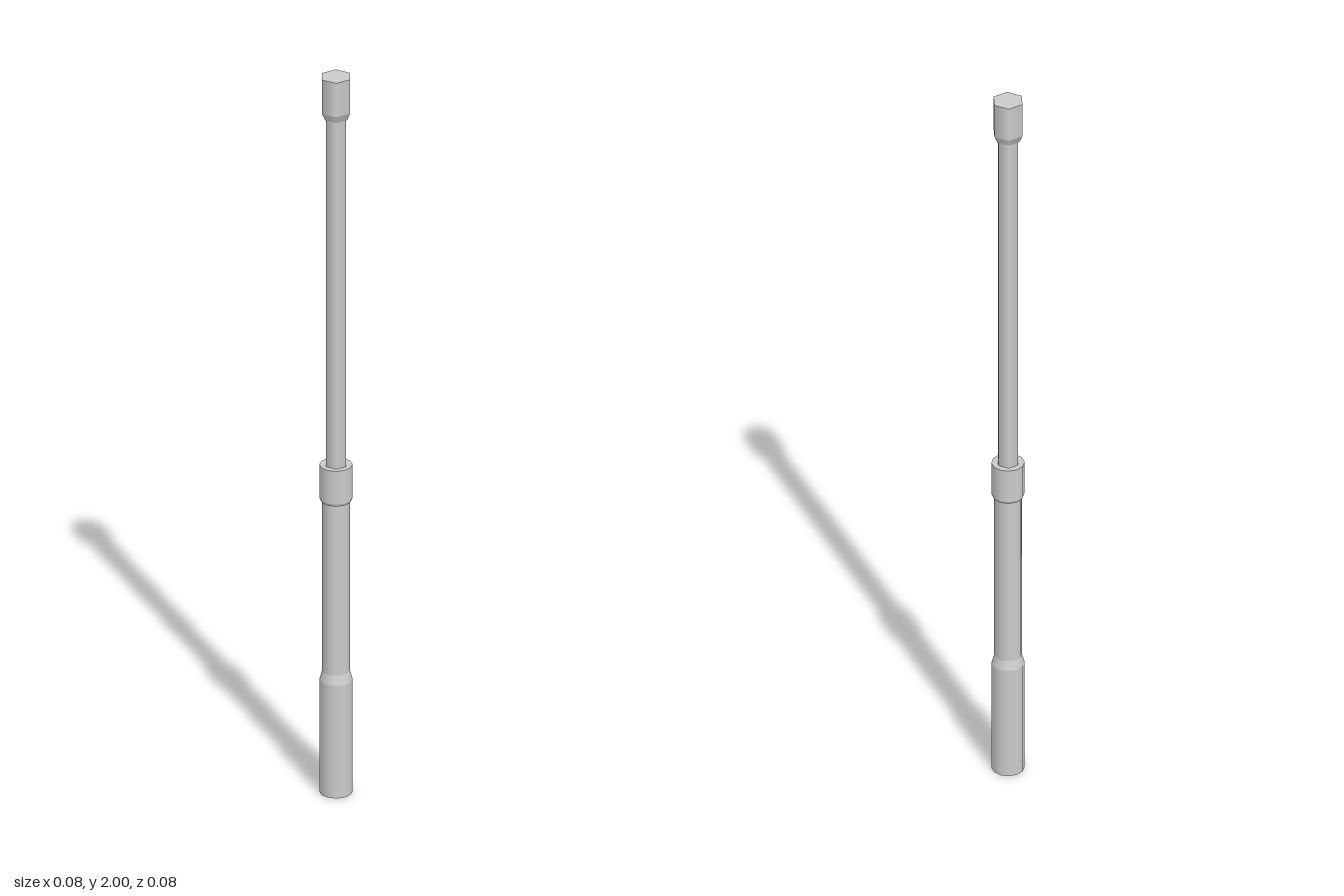
import * as THREE from 'three';
import { mergeGeometries } from 'three/addons/utils/BufferGeometryUtils.js';

const material = new THREE.MeshStandardMaterial({ color: 0xcccccc });

// Closed round part from [radius, height] rings, smooth around and sharp between rings
function turned(name, sides, rings) {
  const pieces = [];
  for (let i = 0; i < rings.length - 1; i++) {
    const [r0, y0] = rings[i];
    const [r1, y1] = rings[i + 1];
    const band = new THREE.CylinderGeometry(r1, r0, y1 - y0, sides, 1, true);
    pieces.push(band.translate(0, (y0 + y1) / 2, 0));
  }
  // End discs, with corners lined up with the bands
  const [rb, yb] = rings[0];
  const [rt, yt] = rings[rings.length - 1];
  const disc = (r, y, turn) =>
    new THREE.CircleGeometry(r, sides, Math.PI / 2).rotateX(turn).translate(0, y, 0);
  pieces.push(disc(rb, yb, Math.PI / 2), disc(rt, yt, -Math.PI / 2));
  const mesh = new THREE.Mesh(mergeGeometries(pieces), material);
  mesh.name = name;
  return mesh;
}

export function createModel() {
  const group = new THREE.Group();
  group.name = 'telescopicBaton';
  group.add(
    // Grip with a shoulder tapering to the lower tube
    turned('grip', 12, [[0.042, 0], [0.042, 0.315], [0.035, 0.34]]),
    turned('lowerTube', 12, [[0.035, 0.34], [0.035, 0.83]]),
    // Joint collar with a small chamfer below
    turned('collar', 12, [[0.039, 0.815], [0.042, 0.822], [0.042, 0.915]]),
    // Six-sided inner rod and end cap
    turned('upperRod', 6, [[0.029, 0.9], [0.029, 1.89]]),
    turned('endCap', 6, [[0.032, 1.885], [0.041, 1.905], [0.041, 2]])
  );
  return group;
}
